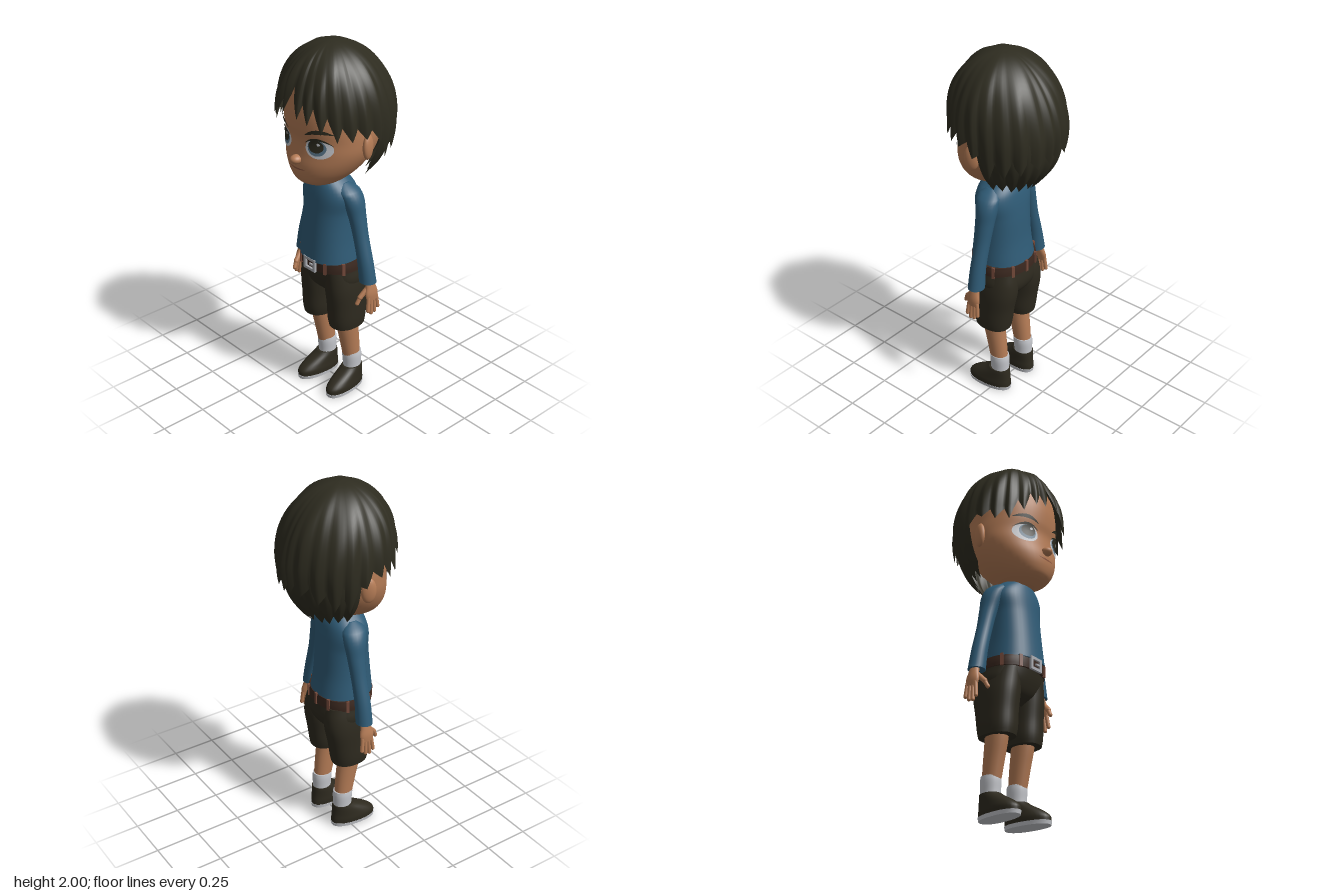
import * as THREE from 'three';

const mat = (name, color, side = THREE.FrontSide) => {
  const m = new THREE.MeshStandardMaterial({ color, side });
  m.name = name;
  return m;
};

// Skin of horizontal cross-sections; rows are [y, cx, cz, rx, rz] from bottom to top
const spline = (rows) => new THREE.CubicInterpolant(rows.map(r => r[0]), rows.flatMap(r => r.slice(1)), 4, new Float32Array(4));

function loft(rows, rings = 16, seg = 32, power = 2) {
  const s = spline(rows), y0 = rows[0][0], y1 = rows[rows.length - 1][0];
  const pos = [], idx = [];
  const ring = (y) => {
    const [cx, cz, rx, rz] = s.evaluate(y);
    const bend = v => Math.sign(v) * Math.abs(v) ** (2 / power);
    for (let j = 0; j < seg; j++) {
      const a = j / seg * Math.PI * 2;
      pos.push(cx + rx * bend(Math.sin(a)), y, cz + rz * bend(Math.cos(a)));
    }
    return [cx, y, cz];
  };
  for (let i = 0; i <= rings; i++) ring(y0 + (y1 - y0) * i / rings);
  for (let i = 0; i < rings; i++) for (let j = 0; j < seg; j++) {
    const a = i * seg + j, b = i * seg + (j + 1) % seg;
    idx.push(a, b, b + seg, a, b + seg, a + seg);
  }
  // flat end caps with their own vertices
  for (const [y, top] of [[y0, false], [y1, true]]) {
    const base = pos.length / 3;
    pos.push(...ring(y));
    for (let j = 0; j < seg; j++) {
      const a = base + j, b = base + (j + 1) % seg;
      idx.push(base + seg, top ? a : b, top ? b : a);
    }
  }
  return indexed(pos, idx);
}

function indexed(pos, idx) {
  const g = new THREE.BufferGeometry();
  g.setAttribute('position', new THREE.Float32BufferAttribute(pos, 3));
  g.setIndex(idx);
  g.computeVertexNormals();
  return g;
}

// Hair sheet hanging from topY to a jagged hem; hem is [degrees, y], alternating gap and tip
function hairSheet(hem, topY, radius, closed, flare) {
  const sub = 4, rows = 22, pos = [], idx = [], cols = (hem.length - 1) * sub + (closed ? 0 : 1);
  for (let i = 0; i <= rows; i++) for (let c = 0; c < cols; c++) {
    const k = Math.floor(c / sub), f = (c % sub) / sub, p = hem[k], q = hem[Math.min(k + 1, hem.length - 1)];
    const a = THREE.MathUtils.degToRad(p[0] + (q[0] - p[0]) * f), t = i / rows;
    const tip = k % 2 ? 1 - f : f;
    const y = topY - (topY - (p[1] + (q[1] - p[1]) * f)) * t ** 1.6;
    const r = radius(y) + t * t * flare * (tip - 0.5) + 0.006 * Math.sin(7 * a + 5 * t) * Math.sin(Math.PI * t);
    const zc = 0.03 * Math.max(0, (y - 1.62) / 0.38);
    pos.push(r * Math.sin(a), y, zc + r * Math.cos(a));
  }
  for (let i = 0; i < rows; i++) for (let c = 0; c < (closed ? cols : cols - 1); c++) {
    const a = i * cols + c, b = i * cols + (c + 1) % cols;
    idx.push(a, a + cols, b + cols, a, b + cols, b);
  }
  return indexed(pos, idx);
}

// Head sections from [y, half width, front z, back z]
const HEAD = [
  [1.265, .05, .17, .06], [1.28, .085, .205, .02], [1.3, .12, .235, -.02], [1.34, .165, .256, -.08],
  [1.4, .21, .264, -.14], [1.47, .242, .256, -.18], [1.54, .252, .252, -.21], [1.6, .25, .264, -.22],
  [1.7, .245, .268, -.23], [1.8, .213, .25, -.2], [1.9, .13, .17, -.1], [1.94, .03, .06, 0],
].map(([y, w, f, b]) => [y, 0, (f + b) / 2, w, (f - b) / 2]);
const headSpline = spline(HEAD);
const faceZ = (x, y) => {
  const [, cz, rx, rz] = headSpline.evaluate(y);
  return cz + rz * Math.sqrt(Math.max(0, 1 - (x / rx) ** 2));
};

export function createModel() {
  const root = new THREE.Group();
  const skin = mat('skin', 0xb57c56), lip = mat('lip', 0x8d573f), hair = mat('hair', 0x2e2c20, THREE.DoubleSide);
  const shirt = mat('shirt blue', 0x2f5b76), shorts = mat('shorts and shoes', 0x2e2a1f), belt = mat('belt leather', 0x3b281f);
  const loopMat = mat('belt loop', 0x74493a), white = mat('white', 0xc6c8cd), iris = mat('iris', 0x587488), metal = mat('buckle metal', 0xa9abb0);
  const add = (name, geo, material, parent = root) => {
    const m = new THREE.Mesh(geo, material);
    m.name = name;
    parent.add(m);
    return m;
  };
  const ball = (name, material, p, r) => {
    const m = add(name, new THREE.SphereGeometry(1, 24, 16), material);
    m.position.set(...p);
    m.scale.set(...r);
    return m;
  };
  const limb = (name, material, p, q, r) => {
    const a = new THREE.Vector3(...p), b = new THREE.Vector3(...q), d = b.clone().sub(a);
    const m = add(name, new THREE.CapsuleGeometry(r, d.length(), 6, 12), material);
    m.position.copy(a).add(b).multiplyScalar(0.5);
    m.quaternion.setFromUnitVectors(new THREE.Vector3(0, 1, 0), d.normalize());
  };
  // Thin painted patches following the face
  const wrap = (name, geo, material, lift, map) => {
    const p = geo.attributes.position;
    for (let i = 0; i < p.count; i++) {
      const [x, y] = map(p.getX(i), p.getY(i));
      p.setXYZ(i, x, y, faceZ(x, y) + lift);
    }
    geo.computeVertexNormals();
    add(name, geo, material);
  };
  const spot = (name, material, x, y, rx, ry, lift) =>
    wrap(name, new THREE.RingGeometry(0.001, 1, 32, 4), material, lift, (u, v) => [x + u * rx, y + v * ry]);
  const stroke = (name, material, x, w, h, lift, curve) =>
    wrap(name, new THREE.PlaneGeometry(2, 1, 16, 2), material, lift, (u, v) => [x + u * w, curve(u) + v * h * (1.05 - u * u)]);

  // Head and face
  add('head', loft(HEAD, 48, 48), skin);
  add('neck', loft([[1.2, 0, .05, .085, .08], [1.27, 0, .055, .08, .08], [1.34, 0, .05, .08, .08]], 6), skin);
  ball('nose', skin, [0, 1.432, .267], [.03, .024, .034]);
  stroke('mouth', lip, 0, .055, .009, .004, u => 1.384 + .004 * u * u);
  for (const s of [1, -1]) {
    spot('eyeWhite', white, s * .12, 1.513, .066, .052, .004);
    spot('iris', iris, s * .113, 1.518, .045, .043, .006);
    spot('pupil', hair, s * .111, 1.526, .037, .034, .008);
    spot('eyeGlint', white, s * .111 + .014, 1.538, .008, .008, .0095);
    stroke('upperLash', hair, s * .12, .068, .012, .009, u => 1.565 - .03 * u * u);
    stroke('eyebrow', hair, s * .125, .068, .021, .008, u => 1.607 - .02 * (u - s * .2) ** 2);
    const ear = ball('ear', skin, [s * .256, 1.51, .022], [.022, .068, .04]);
    ear.rotation.y = s * .35;
  }

  // Hair: bangs and crown layer, then the longer nape layer
  const half = [
    [0, 1.81], [10, 1.67], [14, 1.74], [21, 1.65], [26, 1.73], [34, 1.61], [40, 1.69], [49, 1.57], [54, 1.64],
    [63, 1.57], [69, 1.63], [77, 1.575], [85, 1.61], [94, 1.54], [100, 1.56], [109, 1.42], [116, 1.52], [125, 1.44],
    [133, 1.53], [142, 1.46], [150, 1.54], [160, 1.48], [168, 1.54], [175, 1.48], [180, 1.53],
  ];
  const other = half.slice(0, -1).reverse().map(([a, y], i) => [360 - a, y + .014 * Math.sin(i * 7)]);
  const crown = y => y > 1.62 ? .298 * Math.sqrt(Math.max(0, 1 - ((y - 1.62) / .38) ** 2.2)) : .298 - .9 * (1.62 - y) ** 2;
  add('hairCrown', hairSheet([...half, ...other], 2, crown, true, .022), hair);
  const nape = [];
  for (let i = 0; i <= 22; i++) {
    const edge = Math.abs(i - 11) / 11;
    nape.push([97 + i * 166 / 22, (i % 2 ? 1.295 : 1.35) + .04 * edge ** 4 + .01 * Math.sin(i * 5)]);
  }
  add('hairNape', hairSheet(nape, 1.68, y => .283 - 2.4 * Math.max(0, 1.6 - y) ** 2.4, false, .02), hair);

  // Shirt body
  add('shirtBody', loft([
    [.83, 0, .037, .162, .155], [.95, 0, .04, .15, .14], [1.1, 0, .038, .147, .127], [1.2, 0, .04, .158, .116],
    [1.25, 0, .042, .132, .104], [1.28, 0, .047, .095, .09], [1.295, 0, .05, .08, .08],
  ], 28, 40, 2.3), shirt);

  // Shorts seat, belt, loops and buckle
  add('shortsSeat', loft([
    [.61, 0, .01, .06, .07], [.65, 0, .01, .15, .115], [.7, 0, .012, .18, .138], [.78, 0, .025, .172, .145], [.83, 0, .032, .165, .143],
  ], 16, 40, 2.3), shorts);
  add('belt', loft([[.775, 0, .028, .178, .152], [.8, 0, .029, .179, .153], [.83, 0, .031, .174, .152]], 4, 40, 2.3), belt);
  for (const a of [.5, 1.15, 1.95, 2.65, Math.PI, -2.65, -1.95, -1.15, -.5]) {
    const m = add('beltLoop', new THREE.BoxGeometry(.016, .066, .012), loopMat);
    const bend = v => Math.sign(v) * Math.abs(v) ** (2 / 2.3);
    m.position.set(.179 * bend(Math.sin(a)), .803, .029 + .153 * bend(Math.cos(a)));
    m.rotation.y = a;
  }
  const rect = (C, w, h) => new C([[-w, -h], [w, -h], [w, h], [-w, h]].map(p => new THREE.Vector2(...p)));
  const frame = rect(THREE.Shape, .044, .036);
  frame.holes.push(rect(THREE.Path, .028, .021));
  add('buckleFrame', new THREE.ExtrudeGeometry(frame, { depth: .014, bevelEnabled: false }), metal).position.set(0, .805, .179);
  add('bucklePin', new THREE.BoxGeometry(.032, .01, .01), metal).position.set(.014, .805, .188);

  // Arms, hands, legs and feet on both sides
  for (const s of [1, -1]) {
    const side = rows => rows.map(([y, cx, ...r]) => [y, s * cx, ...r]);
    add('sleeve', loft(side([
      [.74, .253, .008, .048, .044], [.85, .235, .01, .043, .042], [1, .195, .01, .042, .042], [1.1, .17, .012, .046, .05],
      [1.2, .14, .022, .055, .064], [1.24, .118, .03, .048, .06], [1.268, .1, .035, .016, .025],
    ]), 28, 24), shirt);
    add('palm', loft(side([
      [.645, .285, .006, .013, .036], [.68, .281, .006, .018, .041], [.72, .272, .006, .02, .031], [.77, .258, .008, .021, .024],
    ]), 10, 20), skin);
    [[-.027, .592], [-.006, .573], [.016, .568], [.036, .585]].forEach(([z, y]) =>
      limb('finger', skin, [s * .285, .66, z * .85], [s * .291, y, z * 1.1], .0105));
    limb('thumb', skin, [s * .268, .708, .025], [s * .258, .665, .066], .014);
    limb('thumbTip', skin, [s * .258, .665, .066], [s * .253, .632, .082], .011);

    add('shortsLeg', loft(side([
      [.42, .103, .018, .077, .1], [.45, .102, .018, .083, .106], [.55, .101, .014, .086, .117], [.65, .097, .01, .089, .132],
      [.72, .09, .012, .087, .134], [.78, .085, .02, .08, .13],
    ]), 20, 32, 2.3), shorts);
    add('leg', loft(side([[.18, .102, -.022, .043, .05], [.3, .102, -.004, .048, .058], [.42, .103, .015, .053, .065], [.5, .103, .02, .055, .068]]), 12, 24), skin);
    add('sock', loft(side([[.09, .102, -.024, .046, .052], [.14, .102, -.024, .047, .053], [.205, .102, -.022, .05, .056], [.222, .102, -.021, .048, .054]]), 10, 24), white);

    const foot = new THREE.Group();
    foot.name = 'foot';
    foot.position.set(s * .106, 0, -.005);
    foot.rotation.y = s * .1;
    root.add(foot);
    add('sole', loft([[0, 0, .045, .057, .13], [.02, 0, .045, .06, .134]], 2, 32, 2.3), white, foot);
    add('shoe', loft([
      [.018, 0, .045, .059, .131], [.045, 0, .044, .061, .129], [.07, 0, .032, .058, .114],
      [.095, 0, .012, .055, .092], [.118, 0, -.008, .052, .07], [.132, 0, -.016, .049, .06],
    ], 16, 32, 2.2), shorts, foot);
  }
  return root;
}
